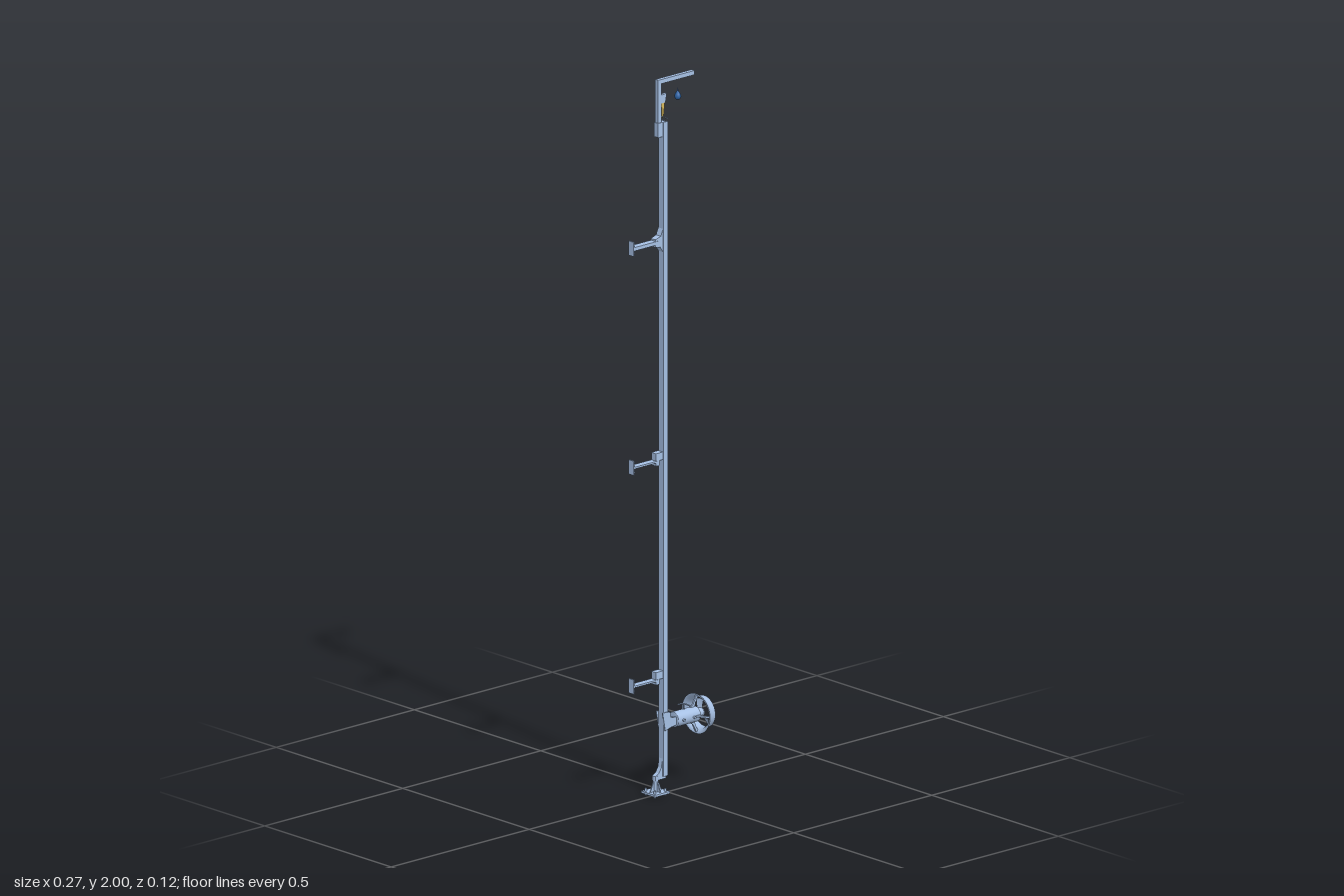
import * as THREE from 'three';

const steel = new THREE.MeshStandardMaterial({ color: 0xa6c0e4, side: THREE.DoubleSide });
const blue = new THREE.MeshStandardMaterial({ color: 0x2f66a8 });
const yellow = new THREE.MeshStandardMaterial({ color: 0xd9b95a });
const black = new THREE.MeshStandardMaterial({ color: 0x222222 });
const ZC = 0.002; // depth of the mast centre line
const MY = 0.198; // height of the mixer axis

export function createModel() {
  const model = new THREE.Group();

  const add = (name, geo, mat = steel, parent = model) => {
    const mesh = new THREE.Mesh(geo, mat);
    mesh.name = name;
    parent.add(mesh);
    return mesh;
  };
  const group = (name, parent = model) => {
    const g = new THREE.Group();
    g.name = name;
    parent.add(g);
    return g;
  };
  // box given by its limits
  const box = (name, x0, x1, y0, y1, z0, z1, parent) => {
    const m = add(name, new THREE.BoxGeometry(x1 - x0, y1 - y0, z1 - z0), steel, parent);
    m.position.set((x0 + x1) / 2, (y0 + y1) / 2, (z0 + z1) / 2);
  };
  // flat plate with an outline in x and y, centred on depth z
  const plate = (name, pts, depth, z, parent, mat) => {
    const shape = new THREE.Shape(pts.map(p => new THREE.Vector2(...p)));
    const geo = new THREE.ExtrudeGeometry(shape, { depth, bevelEnabled: false });
    geo.translate(0, 0, z - depth / 2);
    return add(name, geo, mat, parent);
  };
  // round bar between two points
  const rod = (name, a, b, r, mat, parent) => {
    const path = new THREE.LineCurve3(new THREE.Vector3(...a), new THREE.Vector3(...b));
    const m = add(name, new THREE.CylinderGeometry(r, r, path.getLength(), 16), mat, parent);
    m.position.copy(path.getPoint(0.5));
    m.quaternion.setFromUnitVectors(new THREE.Vector3(0, 1, 0), path.getTangent(0));
  };
  const lathe = pts => new THREE.LatheGeometry(pts.map(p => new THREE.Vector2(...p)), 48);
  // turned part along +x, profile as [radius, position]
  const turned = (name, pts, parent) => {
    add(name, lathe(pts), steel, parent).rotation.z = -Math.PI / 2;
  };

  // mast: rectangular guide tube
  const rect = (P, hx, hy) => new P().moveTo(-hx, -hy).lineTo(hx, -hy).lineTo(hx, hy).lineTo(-hx, hy).closePath();
  const tube = rect(THREE.Shape, 0.0085, 0.01);
  tube.holes.push(rect(THREE.Path, 0.0065, 0.008));
  const mast = add('mast', new THREE.ExtrudeGeometry(tube, { depth: 1.83, bevelEnabled: false }));
  mast.rotation.x = -Math.PI / 2;
  mast.position.set(-0.0165, 0.05, ZC);

  // foot: floor plate, stem, gussets and anchor bolts
  const foot = group('foot');
  box('footPlate', -0.072, -0.017, 0.006, 0.012, -0.026, 0.03, foot);
  rod('footStem', [-0.044, 0.012, ZC], [-0.044, 0.055, ZC], 0.008, steel, foot);
  plate('footGusset', [[-0.064, 0.012], [-0.024, 0.012], [-0.037, 0.044], [-0.051, 0.044]], 0.003, ZC, foot);
  const cross = plate('footGusset', [[-0.019, 0.012], [0.019, 0.012], [0.007, 0.044], [-0.007, 0.044]], 0.003, 0, foot);
  cross.rotation.y = Math.PI / 2;
  cross.position.set(-0.044, 0, ZC);
  plate('mastShoe', [[-0.05, 0.043], [-0.012, 0.043], [-0.012, 0.1], [-0.025, 0.1], [-0.03, 0.075], [-0.038, 0.062], [-0.05, 0.055]], 0.014, ZC, foot);
  for (const x of [-0.063, -0.025]) for (const z of [-0.016, 0.02])
    rod('anchorBolt', [x, 0, z], [x, 0.02, z], 0.0035, steel, foot);

  // wall brackets: clamp on the mast, arm and bolted wall plate
  [0.323, 0.935, 1.547].forEach((y, n) => {
    const g = group('wallBracket');
    g.position.y = y;
    const top = n === 2;
    plate('clamp', top
      ? [[-0.025, 0.035], [-0.033, 0.016], [-0.052, 0.01], [-0.052, -0.012], [-0.035, -0.014], [-0.025, -0.03]]
      : [[-0.025, 0.023], [-0.05, 0.023], [-0.05, -0.012], [-0.038, -0.012], [-0.038, 0.002], [-0.025, 0.002]],
    0.019, ZC - 0.001, g);
    const t = top ? 0.005 : 0.0025;
    box('arm', -0.131, -0.045, -t, t, -0.008, 0.012, g);
    box('wallPlate', -0.133, -0.129, -0.02, 0.02, -0.008, 0.012, g);
    for (const dy of [-0.014, 0.014]) for (const z of [-0.003, 0.007])
      rod('plateBolt', [-0.129, dy, z], [-0.125, dy, z], 0.0022, steel, g);
  });

  // hoist: socket, post and jib on the mast head
  const hoist = group('hoist');
  box('socket', -0.042, -0.014, 1.84, 1.88, -0.006, 0.01, hoist);
  box('post', -0.04, -0.028, 1.85, 2, -0.004, 0.008, hoist);
  box('jib', -0.04, 0.092, 1.988, 2, -0.004, 0.008, hoist);
  plate('winch', [[-0.03, 1.955], [-0.03, 1.932], [-0.012, 1.932], [-0.007, 1.957]], 0.008, ZC, hoist);
  plate('winchRope', [[-0.025, 1.932], [-0.022, 1.89], [-0.018, 1.89], [-0.013, 1.932]], 0.005, ZC, hoist, yellow);
  rod('crank', [-0.025, 1.895, ZC], [-0.025, 1.895, 0.028], 0.0015, steel, hoist);
  const weight = add('hookWeight', lathe([[0, 0], [0.006, 0.002], [0.0095, 0.009], [0.0075, 0.016], [0.002, 0.025], [0, 0.034]]), blue, hoist);
  weight.position.set(0.036, 1.929, ZC);

  // mixer: carriage, motor, shroud ring and propeller around its own axis
  const mixer = group('mixer');
  mixer.position.set(0.001, MY, 0.0015);
  for (const z of [-0.0125, 0.0125]) {
    plate('carriageCheek', [[-0.032, 0.032], [-0.005, 0.03], [-0.002, 0.013], [0.021, 0.011], [0.021, -0.011], [-0.002, -0.014], [-0.022, -0.02]], 0.003, z, mixer);
  }
  box('carriageBack', -0.007, -0.003, -0.014, 0.026, -0.0125, 0.0125, mixer);
  rod('carriageNeck', [-0.004, 0, 0], [0.022, 0, 0], 0.009, steel, mixer);
  turned('motor', [[0, 0.018], [0.02, 0.018], [0.0212, 0.02], [0.0212, 0.02], [0.0212, 0.1], [0.0212, 0.1], [0.012, 0.104], [0, 0.104]], mixer);
  box('sideRail', 0.031, 0.094, -0.004, 0.004, -0.027, -0.018, mixer);
  for (const x of [0.037, 0.075]) rod('plug', [x, 0, 0.018], [x, 0, 0.0275], 0.0035, steel, mixer);

  // lifting bail above the motor
  const bail = new THREE.CatmullRomCurve3([[0.036, 0.039], [0.055, 0.037], [0.074, 0.029], [0.092, 0.018]]
    .map(([x, y]) => new THREE.Vector3(x, y, 0)));
  add('liftingBail', new THREE.TubeGeometry(bail, 24, 0.002, 8), steel, mixer);
  rod('bailPost', [0.058, 0.019, 0], [0.058, 0.036, 0], 0.002, steel, mixer);

  // flared shroud ring with closed wall
  turned('shroud', [[0.056, 0.1015], [0.0515, 0.107], [0.0472, 0.113], [0.045, 0.12], [0.0445, 0.1315],
    [0.0405, 0.1315], [0.041, 0.118], [0.0435, 0.11], [0.0485, 0.104], [0.053, 0.1015], [0.056, 0.1015]], mixer);
  for (let k = 0; k < 4; k++) {
    const side = group('shroudStrut', mixer);
    side.rotation.x = k * Math.PI / 2;
    plate('strut', [[0.08, 0.018], [0.096, 0.018], [0.097, 0.03], [0.107, 0.048], [0.103, 0.054], [0.088, 0.027], [0.08, 0.023]], 0.005, 0, side);
  }

  // propeller: hub and three twisted blades
  turned('propellerHub', [[0, 0.1], [0.014, 0.1], [0.014, 0.118], [0.014, 0.118], [0.01, 0.125], [0, 0.129]], mixer);
  for (let k = 0; k < 3; k++) {
    const blade = new THREE.BoxGeometry(0.0018, 0.03, 0.02, 1, 8, 4);
    const p = blade.attributes.position;
    for (let j = 0; j < p.count; j++) {
      const t = p.getY(j) / 0.03 + 0.5, a = 0.95 - 0.5 * t;
      const x = p.getX(j), z = p.getZ(j) * (0.75 + 0.35 * t);
      p.setXYZ(j, x * Math.cos(a) + z * Math.sin(a) * 0.8, 0.01 + 0.03 * t, z * Math.cos(a) - x * Math.sin(a));
    }
    blade.computeVertexNormals();
    const m = add('propellerBlade', blade, steel, mixer);
    m.position.x = 0.115;
    m.rotation.x = k * Math.PI * 2 / 3;
  }

  // power cable rising beside the motor
  rod('cableGland', [0.024, 0.012, -0.015], [0.024, 0.012, -0.031], 0.004, blue, mixer);
  const cable = new THREE.CatmullRomCurve3([[0.012, -0.028], [0.012, -0.05], [0.016, -0.058], [0.03, -0.06], [0.122, -0.06]]
    .map(([y, z]) => new THREE.Vector3(0.024, y, z)));
  add('powerCable', new THREE.TubeGeometry(cable, 40, 0.001, 8), black, mixer);

  return model;
}
